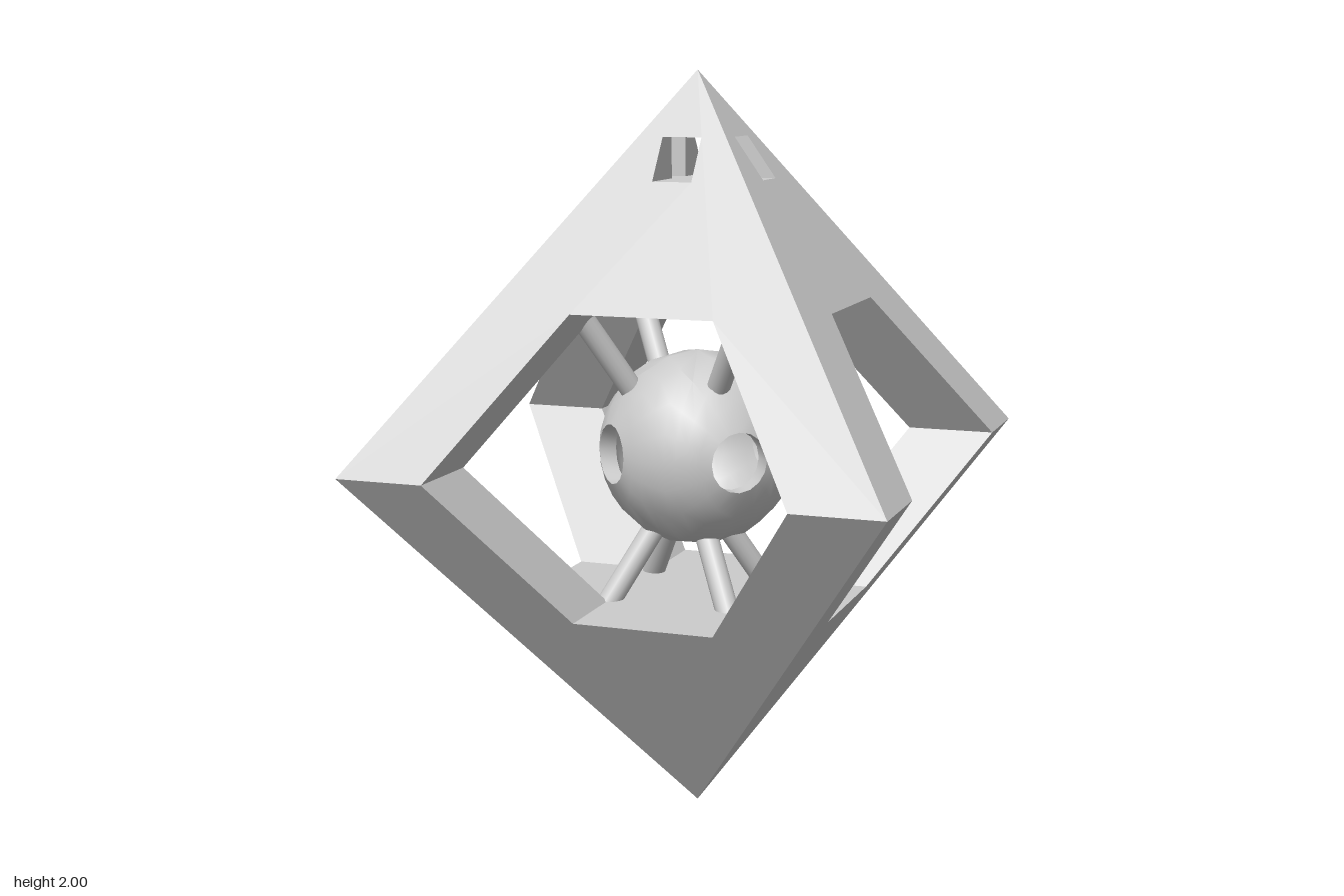
import * as THREE from 'three';
import { mergeGeometries, toCreasedNormals } from 'three/addons/utils/BufferGeometryUtils.js';

const E = 0.707;            // half width of the frame at mid height
const I = 0.47;             // half width of the openings at mid height
const W = 0.19, H = 0.4;    // half width and height of the flat opening ends
const WIN = 0.053, WIN0 = 0.72, WIN1 = 0.83; // small windows, heights above the middle
const R = 0.265, RI = 0.22, HOLE = 0.08;     // ball shell and its holes
const faceZ = (y) => E * (1 - Math.abs(y)); // sloped face, y measured from the middle

// Convex polygon as a triangle fan, mirrored in x / y with winding kept
function poly(points, sx = 1, sy = 1) {
  const p = points.map(([x, y, z]) => [x * sx, y * sy, z]);
  if (sx * sy < 0) p.reverse();
  return fan(p);
}
function fan(p) {
  const pos = [];
  for (let i = 1; i < p.length - 1; i++) pos.push(...p[0], ...p[i], ...p[i + 1]);
  const g = new THREE.BufferGeometry();
  g.setAttribute('position', new THREE.Float32BufferAttribute(pos, 3));
  return g;
}

// Sloped triangular face with the opening cut out, and a window in the upper one
function slopedFace(sy) {
  const v = (x, y) => new THREE.Vector2(x, y * sy);
  const shape = new THREE.Shape([v(-E, 0), v(-I, 0), v(-W, H), v(W, H), v(I, 0), v(E, 0), v(0, 1)]);
  if (sy > 0) {
    shape.holes.push(new THREE.Path([v(-WIN, WIN0), v(WIN, WIN0), v(WIN, WIN1), v(-WIN, WIN1)]));
  }
  const g = new THREE.ShapeGeometry(shape).toNonIndexed();
  const p = g.attributes.position;
  for (let i = 0; i < p.count; i++) p.setZ(i, faceZ(p.getY(i)));
  g.deleteAttribute('normal');
  g.deleteAttribute('uv');
  return g;
}

// One quarter of the frame, facing the front
function frameQuarter() {
  const parts = [];
  const zH = faceZ(H), z0 = faceZ(WIN0), z1 = faceZ(WIN1);
  const slab = (w, y, z) => [[0, y, 0], [w, y, w], [w, y, z], [-w, y, z], [-w, y, w]];
  for (const sy of [1, -1]) {
    parts.push(slopedFace(sy));
    // flat end of the opening
    parts.push(poly(slab(W, H, zH), 1, sy));
    // strut sides
    for (const sx of [1, -1]) {
      parts.push(poly([[I, 0, E], [W, H, zH], [W, H, W], [I, 0, I]], sx, sy));
    }
  }
  // window tunnel: sides, ceiling and floor
  for (const sx of [1, -1]) {
    parts.push(poly([[WIN, WIN0, z0], [WIN, WIN1, z1], [WIN, WIN1, WIN], [WIN, WIN0, WIN]], sx));
  }
  parts.push(poly(slab(WIN, WIN1, z1)));
  parts.push(fan(slab(WIN, WIN0, z0).reverse()));
  return mergeGeometries(parts);
}

// One quarter of the hollow ball, spreading from its hole to the quarter's border
function ballQuarter() {
  const N = 16, M = 4, rows = [];
  const row = (r, t) => {
    const out = [];
    for (let i = 0; i < N; i++) {
      const a = (i / N) * Math.PI * 2;
      const edge = Math.atan2(1, Math.abs(Math.cos(a)));
      const b = THREE.MathUtils.lerp(Math.asin(HOLE / r), edge, t);
      out.push([r * Math.sin(b) * Math.cos(a), r * Math.sin(b) * Math.sin(a), r * Math.cos(b)]);
    }
    return out;
  };
  for (let j = M; j >= 0; j--) rows.push(row(R, j / M));
  for (let j = 0; j <= M; j++) rows.push(row(RI, j / M));
  const pos = [];
  for (let j = 0; j < rows.length - 1; j++) {
    for (let i = 0; i < N; i++) {
      const k = (i + 1) % N;
      const a = rows[j][i], b = rows[j][k], c = rows[j + 1][k], d = rows[j + 1][i];
      pos.push(...a, ...b, ...c, ...a, ...c, ...d);
    }
  }
  const g = new THREE.BufferGeometry();
  g.setAttribute('position', new THREE.Float32BufferAttribute(pos, 3));
  return g;
}

// Repeat a quarter four times around the vertical axis
function fourTimes(quarter, start) {
  const all = [0, 1, 2, 3].map((i) => quarter.clone().rotateY(start + (i * Math.PI) / 2));
  return mergeGeometries(all).translate(0, 1, 0);
}

function rod(from, to, material) {
  const dir = to.clone().sub(from);
  const mesh = new THREE.Mesh(new THREE.CylinderGeometry(0.031, 0.031, dir.length(), 16), material);
  mesh.position.copy(from).add(to).multiplyScalar(0.5);
  mesh.quaternion.setFromUnitVectors(new THREE.Vector3(0, 1, 0), dir.normalize());
  mesh.name = 'supportRod';
  return mesh;
}

export function createModel() {
  const model = new THREE.Group();
  model.name = 'framedBall';
  const material = new THREE.MeshStandardMaterial({ color: 0xcccccc });

  // Eight-faced frame with openings
  const frameGeometry = fourTimes(frameQuarter(), 0);
  frameGeometry.computeVertexNormals();
  const frame = new THREE.Mesh(frameGeometry, material);
  frame.name = 'frame';
  model.add(frame);

  // Hollow ball with four holes on the diagonals
  const ball = new THREE.Mesh(toCreasedNormals(fourTimes(ballQuarter(), Math.PI / 4), 0.7), material);
  ball.name = 'hollowBall';
  model.add(ball);

  // Eight rods from the ball into the top and bottom of the frame
  const rods = new THREE.Group();
  rods.name = 'supportRods';
  for (const sx of [1, -1]) {
    for (const sz of [1, -1]) {
      const at = (t) => new THREE.Vector3(-0.025 + sx * 0.5 * Math.abs(t), 0.93 + t, sz * 0.5 * Math.abs(t));
      rods.add(rod(at(0.24), at(0.5), material), rod(at(-0.15), at(-0.36), material));
    }
  }
  model.add(rods);
  return model;
}
